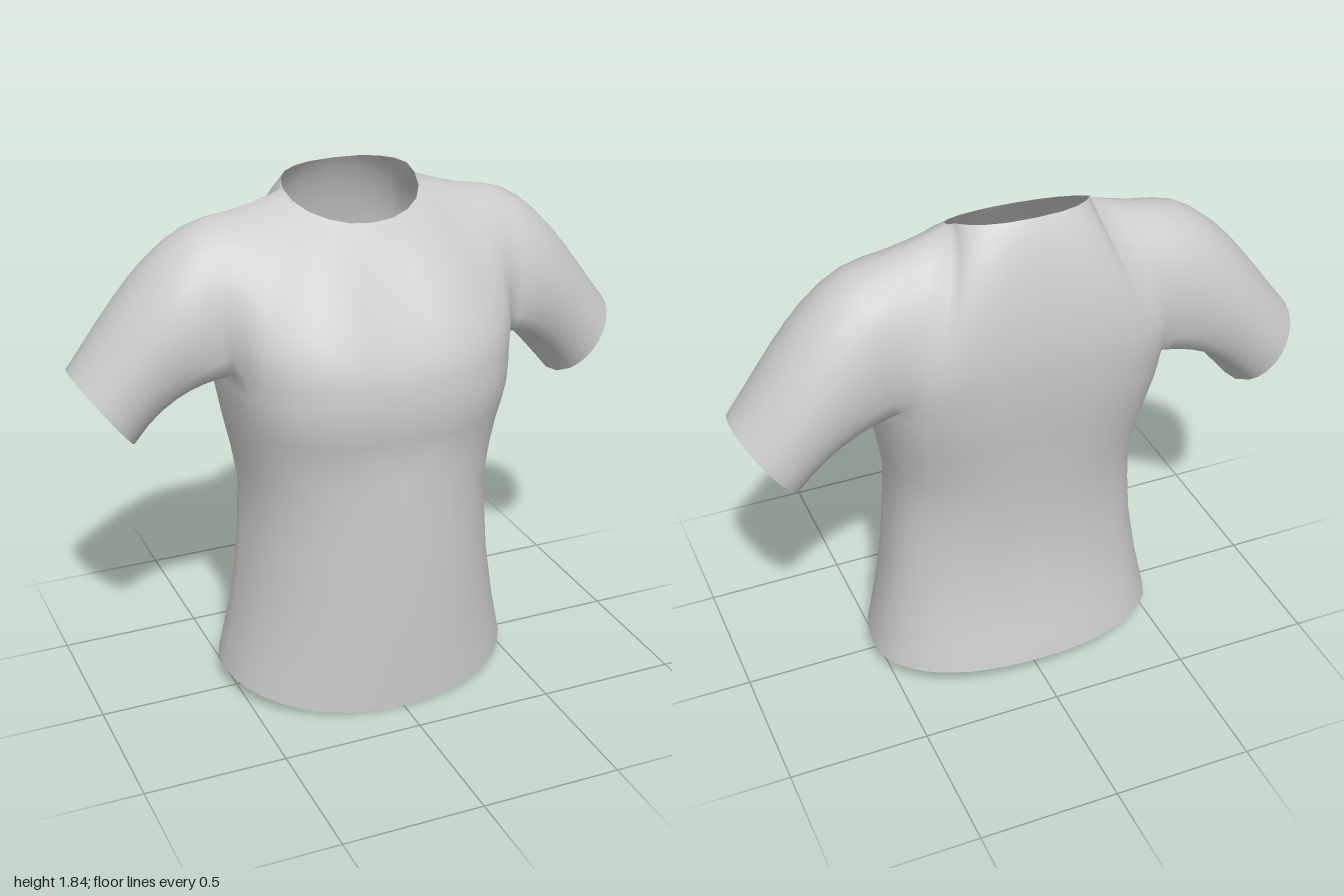
import * as THREE from 'three';
import { mergeVertices } from 'three/addons/utils/BufferGeometryUtils.js';

const V = (x, y, z) => new THREE.Vector3(x, y, z);
const { lerp, degToRad: rad } = THREE.MathUtils;

// Body stations: height, half width, front depth, back depth, front and back squareness
const STATIONS = [
  [0.00, 0.535, 0.365, 0.380, 2.2, 2.2],
  [0.10, 0.515, 0.367, 0.362, 2.2, 2.2],
  [0.20, 0.495, 0.368, 0.340, 2.2, 2.2],
  [0.40, 0.465, 0.370, 0.312, 2.2, 2.2],
  [0.60, 0.447, 0.366, 0.312, 2.3, 2.3],
  [0.75, 0.440, 0.362, 0.322, 2.3, 2.3],
  [0.88, 0.458, 0.358, 0.335, 2.4, 2.5],
  [0.97, 0.474, 0.360, 0.346, 2.5, 2.7],
  [1.04, 0.485, 0.376, 0.355, 2.6, 2.9],
  [1.12, 0.495, 0.388, 0.366, 2.7, 3.2],
  [1.19, 0.502, 0.387, 0.373, 2.7, 3.4],
  [1.25, 0.505, 0.380, 0.378, 2.7, 3.6],
];
const TOP = STATIONS.length - 1;
const MID_Z = -0.05;
const HALF = 8, SIDE = 4, SHOULDER = 3;  // columns: half panel, underarm, shoulder seam
const COLS = 2 * HALF + SIDE;
const ROWS = 10;

// Column angle around the half body: front centre, front armhole, back armhole, back centre
function columnAngle(k) {
  if (k <= HALF) return rad(lerp(90, 11.5, k / HALF));
  if (k <= HALF + SIDE) return rad(lerp(11.5, -33, (k - HALF) / SIDE));
  return rad(lerp(-33, -90, (k - HALF - SIDE) / HALF));
}

// Body below the armholes, with the hem dipping at the front
function bodyPoint(row, k) {
  const [y, w, front, back, nf, nb] = STATIONS[row];
  const a = columnAngle(k), s = Math.sin(a), c = Math.max(0, Math.cos(a));
  const e = 2 / (s >= 0 ? nf : nb);
  const x = k === 0 || k === COLS ? 0 : w * c ** e;
  let z = MID_Z + (s >= 0 ? (front - MID_Z) * s ** e : -(back + MID_Z) * (-s) ** e);
  if (s > 0 && y > 0.95) z -= 0.014 * Math.exp(-((x / 0.07) ** 2));
  const hem = s >= 0 ? 0.06 * c * c : 0.06 - 0.03 * s;
  return V(x, y + hem * (1 - y / 1.25), z);
}

// Top edge of a panel: shoulder seam, then half of the neckline (j = 0 at the armhole)
function topPoint(j, isFront) {
  if (j <= SHOULDER) {
    const t = j / SHOULDER;
    return V(lerp(0.5, 0.24, t), 1.73 + 0.035 * t + 0.035 * t * t, lerp(-0.13, -0.12, t));
  }
  const a = (j - SHOULDER) / (HALF - SHOULDER) * Math.PI / 2;
  const s = Math.sin(a), x = j === HALF ? 0 : 0.24 * Math.cos(a) ** (isFront ? 1 : 0.8);
  return isFront ? V(x, 1.8 - 0.09 * s, -0.12 + 0.2 * s)
    : V(x, 1.8 + 0.042 * Math.sqrt(s), -0.12 - 0.137 * s);
}

function bezier(a, da, db, b, t) {
  return new THREE.CubicBezierCurve3(a, a.clone().add(da), b.clone().add(db), b).getPoint(t);
}

// Chest and back panels, rising from the body to the shoulders and neck
function panelPoint(row, j, isFront) {
  const a = bodyPoint(TOP, isFront ? HALF - j : HALF + SIDE + j);
  const b = topPoint(j, isFront), s = j / HALF, t = row / ROWS;
  if (row === 0) return a;
  if (row === ROWS) return b;
  const da = isFront ? V(0.03, 0.19, 0.06).lerp(V(0, 0.15, -0.04), s)
    : V(0.04, 0.2, -0.08).lerp(V(0, 0.25, -0.022), s);
  const db = isFront ? V(0, -0.01, 0.18).lerp(V(0, -0.12, 0.085), s)
    : V(0, -0.02, -0.18).lerp(V(0, -0.1, -0.065), s);
  if (j === HALF) da.x = db.x = 0;
  return bezier(a, da, db, b, t);
}

// Closed armhole loop, each point with its matching angle on the cuff
function armholeLoop() {
  const loop = [];
  for (let r = 0; r < ROWS; r++) loop.push([panelPoint(r, 0, false), lerp(225, 90, r / ROWS)]);
  for (let r = ROWS; r > 0; r--) loop.push([panelPoint(r, 0, true), lerp(-45, 90, r / ROWS)]);
  for (let k = 0; k <= SIDE; k++) loop.push([bodyPoint(TOP, HALF + k), lerp(-45, -135, k / SIDE)]);
  return loop;
}

// Sleeve swept from the armhole to the slanted cuff
function sleevePoint([start, degrees], t) {
  if (t === 0) return start;
  const s = Math.sin(rad(degrees)), c = Math.cos(rad(degrees)), up = (s + 1) / 2;
  const cuff = V(0.9 + 0.1 * s, 1.115 + 0.135 * s, -0.14 + 0.18 * c);
  const leave = V(lerp(0.07, 0.2, up), lerp(0, -0.03, up), 0.02 * c);
  return bezier(start, leave, V(-0.15, 0.185, 0.02 * c), cuff, t);
}

function createModel() {
  const position = [], index = [];

  // Adds a grid of points and its mirror image
  function addGrid(rows, cols, point) {
    for (const side of [1, -1]) {
      const base = position.length / 3;
      for (let r = 0; r <= rows; r++) for (let c = 0; c <= cols; c++) {
        const p = point(r, c);
        position.push(side * p.x, p.y, p.z);
      }
      for (let r = 0; r < rows; r++) for (let c = 0; c < cols; c++) {
        const a = base + r * (cols + 1) + c, b = a + 1, d = a + cols + 1, e = d + 1;
        if (side > 0) index.push(a, b, e, a, e, d);
        else index.push(a, e, b, a, d, e);
      }
    }
  }

  // Body, chest, back and sleeves, welded into one cloth
  addGrid(TOP, COLS, bodyPoint);
  addGrid(ROWS, HALF, (r, c) => panelPoint(r, HALF - c, true));
  addGrid(ROWS, HALF, (r, c) => panelPoint(r, c, false));
  const loop = armholeLoop();
  addGrid(8, loop.length - 1, (r, c) => sleevePoint(loop[c], r / 8));

  let geometry = new THREE.BufferGeometry();
  geometry.setAttribute('position', new THREE.Float32BufferAttribute(position, 3));
  geometry.setIndex(index);
  geometry = mergeVertices(geometry, 1e-4);
  geometry.computeVertexNormals();

  const shirt = new THREE.Mesh(geometry, new THREE.MeshStandardMaterial({
    color: 0xcccccc, side: THREE.DoubleSide,
  }));
  shirt.name = 'shirt';
  const group = new THREE.Group();
  group.name = 'shortSleevedShirt';
  group.add(shirt);
  return group;
}

export { createModel };
